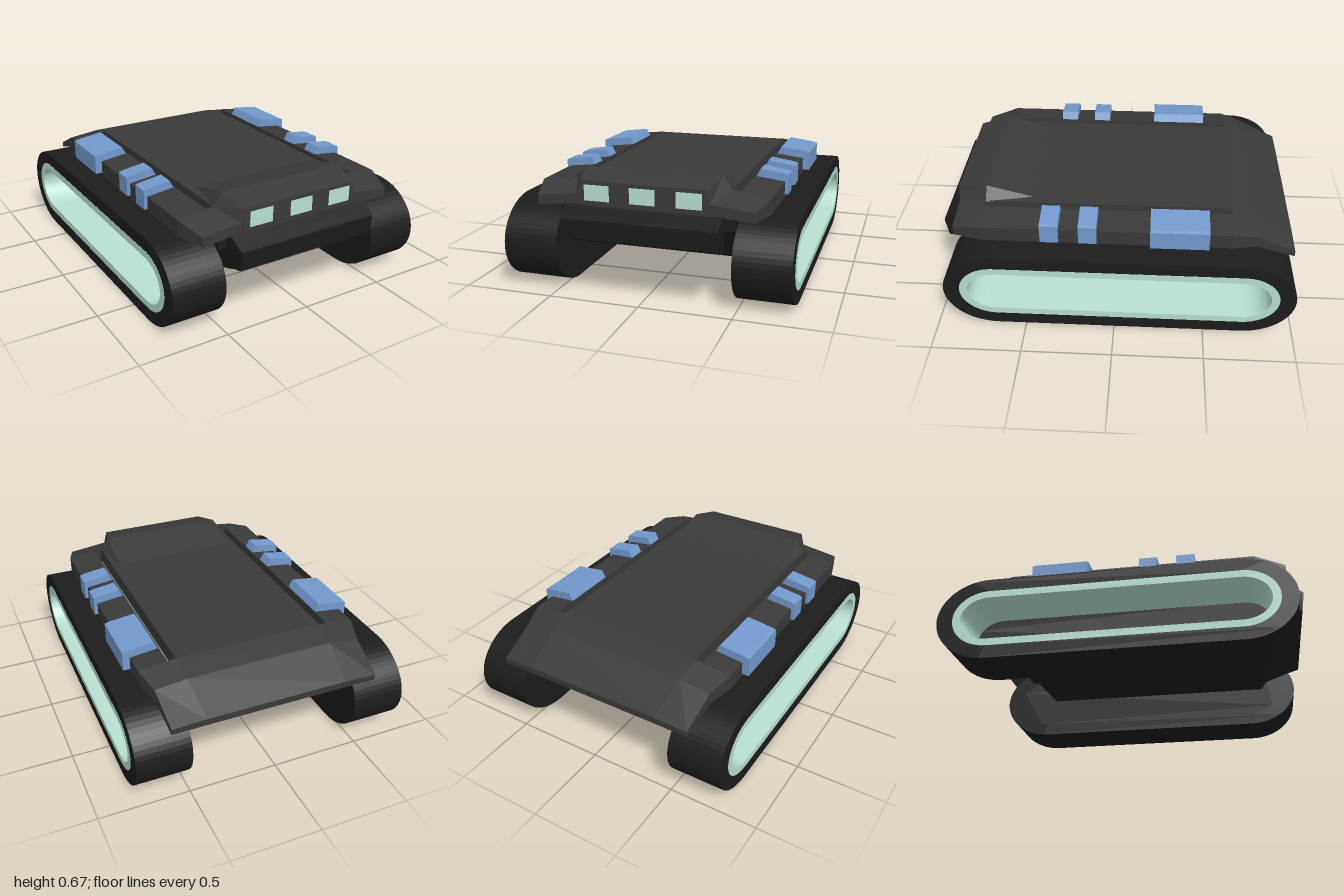
import * as THREE from 'three';

const paint = (color) => new THREE.MeshStandardMaterial({ color, flatShading: true, side: THREE.DoubleSide });
const rubber = paint(0x1c1c1c), armour = paint(0x393939), mint = paint(0xb8e0d0), blue = paint(0x7299cc);

function add(parent, name, geometry, material) {
  const mesh = new THREE.Mesh(geometry, material);
  mesh.name = name;
  parent.add(mesh);
  return mesh;
}

// Skin a list of rings (arrays of [x, y, z]) and close both ends.
function loft(rings) {
  const n = rings[0].length, index = [];
  for (let r = 0; r < rings.length - 1; r++) {
    for (let i = 0; i < n; i++) {
      const a = r * n + i, b = r * n + (i + 1) % n;
      index.push(a, b, a + n, b, b + n, a + n);
    }
  }
  const last = (rings.length - 1) * n;
  for (let i = 1; i < n - 1; i++) {
    index.push(0, i + 1, i, last, last + i, last + i + 1);
  }
  const g = new THREE.BufferGeometry();
  g.setAttribute('position', new THREE.Float32BufferAttribute(rings.flat(2), 3));
  g.setIndex(index);
  const flat = g.toNonIndexed();
  flat.computeVertexNormals();
  return flat;
}

// Symmetric ring at z from its +x half, listed top to bottom.
// Rings should be given from back to front.
const mirrorRing = (z, half) => [
  ...half.map(([x, y]) => [-x, y, z]),
  ...half.slice().reverse().map(([x, y]) => [x, y, z]),
];

// Side outline of a track with rounded ends; u = -z.
function trackLoop(rx, ry, Type = THREE.Shape) {
  const s = new Type(), y = 0.2375;
  s.absellipse(0.71, y, rx, ry, -Math.PI / 2, Math.PI / 2, false, 0);
  s.absellipse(-0.66, y, rx, ry, Math.PI / 2, Math.PI * 1.5, false, 0);
  s.closePath();
  return s;
}

// Extrude a side outline across x, from x0 to x1.
function across(shape, x0, x1) {
  return new THREE.ExtrudeGeometry(shape, { depth: x1 - x0, bevelEnabled: false, curveSegments: 14 })
    .rotateY(Math.PI / 2).translate(x0, 0, 0);
}

function box(x0, x1, y0, y1, z0, z1) {
  return new THREE.BoxGeometry(x1 - x0, y1 - y0, z1 - z0)
    .translate((x0 + x1) / 2, (y0 + y1) / 2, (z0 + z1) / 2);
}

function buildTrack(side) {
  const track = new THREE.Group();
  track.name = side > 0 ? 'leftTrack' : 'rightTrack';
  const span = (a, b) => (side > 0 ? [a, b] : [-b, -a]);

  const belt = trackLoop(0.29, 0.2375);
  belt.holes.push(trackLoop(0.2, 0.165, THREE.Path));
  add(track, 'belt', across(belt, ...span(0.48, 0.785)), rubber);

  // Deep lining, open to the outside
  const lining = trackLoop(0.2, 0.165);
  lining.holes.push(trackLoop(0.155, 0.125, THREE.Path));
  add(track, 'trackLining', across(lining, ...span(0.5, 0.786)), mint);
  add(track, 'trackInnerPlate', across(trackLoop(0.2, 0.165), ...span(0.481, 0.505)), rubber);
  return track;
}

function buildSidePlate(side) {
  const plate = new THREE.Group();
  plate.name = side > 0 ? 'leftSidePlate' : 'rightSidePlate';
  const section = (z) => [[0.475, 0.592, z], [0.475, 0.5, z], [0.64, 0.485, z], [0.64, 0.572, z]]
    .map(([x, y, zz]) => [x * side, y, zz]);
  const rings = [section(-0.64), section(0.74)];
  if (side < 0) rings.forEach((r) => r.reverse());
  rings.forEach((r) => r.reverse());
  add(plate, 'sideDeck', loft(rings), armour);

  // Lit floor of the slot between side plate and centre deck
  add(plate, 'slotStrip', box(side * 0.4525 - 0.0235, side * 0.4525 + 0.0235, 0.49, 0.505, -0.64, 0.74), mint);

  // Clamped blocks: back z, front z, outer x
  for (const [z0, z1, out] of [[-0.51, -0.19, 0.68], [0.1, 0.2, 0.66], [0.31, 0.41, 0.66]]) {
    const outline = [[0.478, 0.585], [0.505, 0.635], [out - 0.02, 0.615], [out, 0.608],
      [out, 0.5], [0.63, 0.5], [0.63, 0.56]];
    const shape = new THREE.Shape(outline.map(([x, y]) => new THREE.Vector2(x * side, y)));
    add(plate, 'sideBlock', new THREE.ExtrudeGeometry(shape, { depth: z1 - z0, bevelEnabled: false })
      .translate(0, 0, z0), blue);
  }
  return plate;
}

export function createModel() {
  const model = new THREE.Group();
  model.name = 'trackedVehicle';

  for (const side of [1, -1]) {
    model.add(buildTrack(side), buildSidePlate(side));
    // Small rear brackets under the overhang
    const bracket = new THREE.CylinderGeometry(0.055, 0.055, 0.1, 12)
      .rotateZ(Math.PI / 2).translate(side * 0.4, 0.42, -0.8);
    add(model, 'rearBracket', bracket, rubber);
  }

  // Lower hull with a sloped tail
  const hull = new THREE.Shape([[-0.74, 0.235], [0.66, 0.235], [0.78, 0.36], [0.78, 0.47], [0.64, 0.495],
    [-0.86, 0.495], [-0.86, 0.41]].map(([u, y]) => new THREE.Vector2(u, y)));
  add(model, 'hull', across(hull, -0.475, 0.475), rubber);

  // Wedge-shaped nose
  const nose = loft([
    mirrorRing(0.74, [[0.43, 0.5], [0.43, 0.44], [0.4, 0.3], [0.39, 0.235]]),
    mirrorRing(0.9, [[0.43, 0.5], [0.43, 0.44], [0.41, 0.335], [0.4, 0.3]]),
    mirrorRing(0.985, [[0.425, 0.453], [0.425, 0.44], [0.42, 0.345], [0.42, 0.335]]),
    mirrorRing(1.0, [[0.42, 0.445], [0.42, 0.44], [0.42, 0.435], [0.42, 0.43]]),
  ]);
  add(model, 'nose', nose, rubber);

  // Centre deck, tapered front and sloping tail
  add(model, 'centreDeck', box(-0.43, 0.43, 0.49, 0.595, -0.64, 0.74), armour);
  add(model, 'frontDeck', loft([
    mirrorRing(0.74, [[0.44, 0.595], [0.64, 0.572], [0.64, 0.485], [0.44, 0.5]]),
    mirrorRing(0.905, [[0.37, 0.555], [0.59, 0.53], [0.59, 0.477], [0.37, 0.5]]),
  ]), armour);
  add(model, 'rearDeck', loft([
    mirrorRing(-0.99, [[0.4, 0.442], [0.59, 0.435], [0.59, 0.402], [0.4, 0.405]]),
    mirrorRing(-0.78, [[0.42, 0.555], [0.6, 0.535], [0.6, 0.47], [0.42, 0.48]]),
    mirrorRing(-0.64, [[0.44, 0.595], [0.64, 0.572], [0.64, 0.485], [0.44, 0.495]]),
  ]), armour);

  // Raised cabin with three front windows
  add(model, 'cabin', loft([
    mirrorRing(0.48, [[0.38, 0.597], [0.385, 0.58], [0.385, 0.5]]),
    mirrorRing(0.74, [[0.38, 0.665], [0.435, 0.592], [0.435, 0.5]]),
    mirrorRing(0.91, [[0.34, 0.628], [0.36, 0.555], [0.36, 0.49]]),
  ]), armour);
  for (const x of [-0.25, 0, 0.25]) {
    add(model, 'window', box(x - 0.069, x + 0.069, 0.523, 0.608, 0.89, 0.913), mint);
  }
  return model;
}
